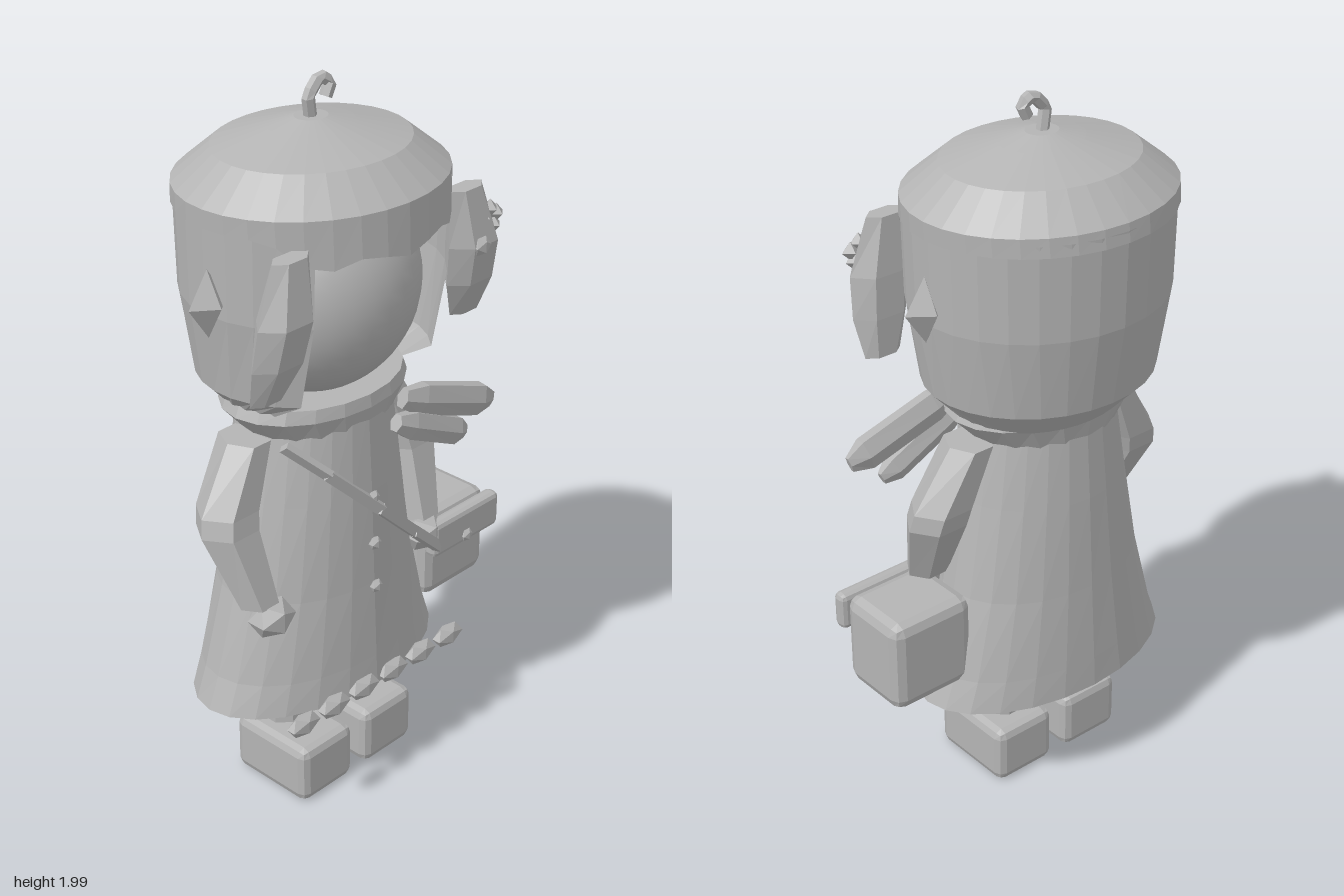
import * as THREE from 'three';
import { RoundedBoxGeometry } from 'three/addons/geometries/RoundedBoxGeometry.js';

const CX = -0.07; // centre line of the figure
const grey = new THREE.MeshStandardMaterial({ color: 0xb4b4b4, side: THREE.DoubleSide });
grey.name = 'plain grey';

// Gives a geometry hard facets
function facet(geometry) {
  const g = geometry.index ? geometry.toNonIndexed() : geometry;
  g.computeVertexNormals();
  return g;
}

// Skins elliptical rings [x, y, z, rx, rz, dropFunction], lowest first;
// gap is the half width of an opening left at the front
function loft(rings, sides, { gap = 0, turn = 0, bottom = true, top = true } = {}) {
  const pos = [], idx = [];
  rings.forEach(([x, y, z, rx, rz, drop]) => {
    const a0 = gap ? Math.asin(gap / rx) : 0;
    for (let i = 0; i <= sides; i++) {
      const a = turn + a0 + (i / sides) * (2 * Math.PI - 2 * a0);
      pos.push(x + rx * Math.sin(a), y - (drop ? drop(a) : 0), z + rz * Math.cos(a));
    }
  });
  const w = sides + 1, last = (rings.length - 1) * w;
  for (let r = 0; r < rings.length - 1; r++) {
    for (let i = 0; i < sides; i++) {
      const a = r * w + i, d = a + w;
      idx.push(a, a + 1, d + 1, a, d + 1, d);
    }
  }
  const c = pos.length / 3, end = rings[rings.length - 1];
  pos.push(...rings[0].slice(0, 3), ...end.slice(0, 3));
  for (let i = 0; i < sides; i++) {
    if (bottom) idx.push(c, i + 1, i);
    if (top) idx.push(c + 1, last + i, last + i + 1);
  }
  const g = new THREE.BufferGeometry();
  g.setAttribute('position', new THREE.Float32BufferAttribute(pos, 3));
  g.setIndex(idx);
  return facet(g);
}

export function createModel() {
  const model = new THREE.Group();
  model.name = 'figure';
  const add = (name, geometry, x = 0, y = 0, z = 0, parent = model) => {
    const mesh = new THREE.Mesh(geometry, grey);
    mesh.name = name;
    mesh.position.set(x, y, z);
    parent.add(mesh);
    return mesh;
  };
  const gem = (name, x, y, z, sx, sy, sz, detailed = false) => {
    const g = detailed ? new THREE.IcosahedronGeometry(1, 0) : new THREE.OctahedronGeometry(1, 0);
    return add(name, facet(g.scale(sx, sy, sz)), x, y, z);
  };
  const block = (name, x0, x1, y0, y1, z0, z1, r) =>
    add(name, facet(new RoundedBoxGeometry(x1 - x0, y1 - y0, z1 - z0, 1, r)),
      (x0 + x1) / 2, (y0 + y1) / 2, (z0 + z1) / 2);

  // Coat and collar
  add('coat', loft([
    [CX, 0.33, 0.003, 0.4, 0.24], [CX, 0.42, 0.003, 0.365, 0.235], [CX, 0.65, 0.005, 0.3, 0.222],
    [CX, 0.92, 0.007, 0.25, 0.208], [CX, 1.16, 0.008, 0.21, 0.192],
  ], 24));
  add('collar', loft([
    [CX, 1.09, 0.005, 0.21, 0.19], [CX, 1.165, 0.005, 0.28, 0.205], [CX, 1.2, 0.005, 0.265, 0.2],
  ], 20));

  // Head: smooth face inside an open-fronted shell of hair
  const face = new THREE.SphereGeometry(1, 32, 24).scale(0.29, 0.29, 0.265);
  add('face', face, CX + 0.005, 1.455, 0);
  add('hair', loft([
    [-0.065, 1.16, 0, 0.25, 0.205], [-0.065, 1.245, 0, 0.325, 0.285],
    [-0.065, 1.47, 0, 0.358, 0.32], [-0.065, 1.73, 0, 0.363, 0.325],
  ], 22, { gap: 0.24, top: false }));

  // Hat with a scalloped front edge
  const frontDrop = (a) => {
    const t = Math.atan2(Math.sin(a), Math.cos(a));
    const fade = THREE.MathUtils.smoothstep(1.15 - Math.abs(t), 0, 0.5);
    return fade * (0.07 + 0.014 * Math.cos(t * 9));
  };
  add('hat', loft([
    [-0.067, 1.7, 0, 0.368, 0.328, frontDrop], [-0.067, 1.75, 0, 0.37, 0.322],
    [-0.067, 1.83, 0, 0.27, 0.23], [-0.068, 1.87, 0, 0.12, 0.1], [CX, 1.888, 0, 0.045, 0.04],
  ], 32));
  const hook = new THREE.CurvePath();
  const bends = [[-0.07, 1.87, 0], [-0.085, 1.94, 0.005], [-0.045, 1.982, 0.005],
    [-0.015, 1.962, 0.012], [-0.032, 1.928, 0.012]].map((p) => new THREE.Vector3(...p));
  for (let i = 0; i < 4; i++) hook.add(new THREE.LineCurve3(bends[i], bends[i + 1]));
  add('hatStem', facet(new THREE.TubeGeometry(hook, 12, 0.017, 6)));

  // Mirrored parts: s = 1 is the left side, s = -1 the right
  for (const s of [1, -1]) {
    const side = s > 0 ? 'left' : 'right';
    const X = (d) => CX + s * d;
    add(side + 'Lock', loft([
      [X(0.36), 1.315, 0.2, 0.055, 0.025], [X(0.345), 1.42, 0.225, 0.085, 0.05],
      [X(0.335), 1.53, 0.24, 0.088, 0.058], [X(0.31), 1.68, 0.235, 0.06, 0.03],
    ], 6, { turn: Math.PI / 6 }));
    gem(side + 'Ear', X(0.365), 1.51, 0.01, 0.062, 0.09, 0.048);
    add(side + 'Arm', loft([
      [X(0.31), 0.68, 0.105, 0.06, 0.055], [X(0.335), 0.88, 0.025, 0.09, 0.08],
      [X(0.325), 0.93, 0.015, 0.09, 0.08], [X(0.245), 1.1, 0, 0.06, 0.075],
    ], 6, { turn: Math.PI / 6 }));
    gem(side + 'Hand', X(0.295), 0.64, 0.14, 0.07, 0.055, 0.055, true);
    add(side + 'Leg', loft([
      [X(0.122), 0.185, 0.01, 0.067, 0.06], [X(0.122), 0.37, -0.002, 0.067, 0.06],
    ], 8, { turn: Math.PI / 8 }));
    block(side + 'Shoe', X(0.122) - 0.098, X(0.122) + 0.098, 0, 0.17, -0.09, 0.178, 0.025);
  }

  // Flower on the left lock
  for (let i = 0; i < 5; i++) {
    const a = (i / 5) * Math.PI * 2 + 0.3;
    gem('flowerPetal', 0.308 + 0.026 * Math.cos(a), 1.582 + 0.026 * Math.sin(a), 0.26, 0.026, 0.026, 0.022);
  }
  gem('flowerBud', 0.25, 1.53, 0.285, 0.032, 0.028, 0.02, true);

  // Scarf tails across the chest
  for (const [from, to, r] of [
    [[0.07, 1.13, 0.19], [0.4, 1.015, 0.215], 0.05],
    [[0.035, 1.075, 0.2], [0.31, 0.945, 0.2], 0.043],
  ]) {
    const a = new THREE.Vector3(...from), b = new THREE.Vector3(...to);
    const L = a.distanceTo(b);
    const tail = add('scarfTail', loft([
      [0, 0, 0, r * 0.6, 0.02], [0, L * 0.2, 0, r, 0.03], [0, L * 0.85, 0, r, 0.032], [0, L, 0, r * 0.5, 0.012],
    ], 6), ...from);
    tail.quaternion.setFromUnitVectors(new THREE.Vector3(0, 1, 0), b.sub(a).normalize());
  }

  // Shoulder strap in short straight runs over the coat
  const strapPoints = [[-0.29, 1.1, 0.12], [-0.2, 1.01, 0.185], [-0.05, 0.865, 0.228],
    [0.1, 0.725, 0.215], [0.24, 0.6, 0.18]].map((p) => new THREE.Vector3(...p));
  for (let i = 0; i < 4; i++) {
    const a = strapPoints[i], b = strapPoints[i + 1];
    const mid = a.clone().add(b).multiplyScalar(0.5);
    const run = add('strap', new THREE.BoxGeometry(0.03, a.distanceTo(b) + 0.008, 0.018), mid.x, mid.y, mid.z);
    run.quaternion.setFromUnitVectors(new THREE.Vector3(0, 1, 0), b.clone().sub(a).normalize());
  }

  // Bag
  block('bag', 0.23, 0.487, 0.41, 0.677, -0.078, 0.145, 0.032);
  block('bagFlap', 0.22, 0.495, 0.565, 0.672, 0.143, 0.187, 0.015);
  gem('bagClasp', 0.355, 0.59, 0.187, 0.022, 0.02, 0.014, true);

  // Buttons and hem beads
  [[0.905, 0.22], [0.77, 0.228], [0.64, 0.234]].forEach(([y, z]) => gem('button', CX, y, z, 0.02, 0.02, 0.015, true));
  for (let i = 0; i < 6; i++) gem('hemBead', -0.355 + i * 0.115, 0.345, 0.243, 0.058, 0.034, 0.025, true);

  return model;
}
